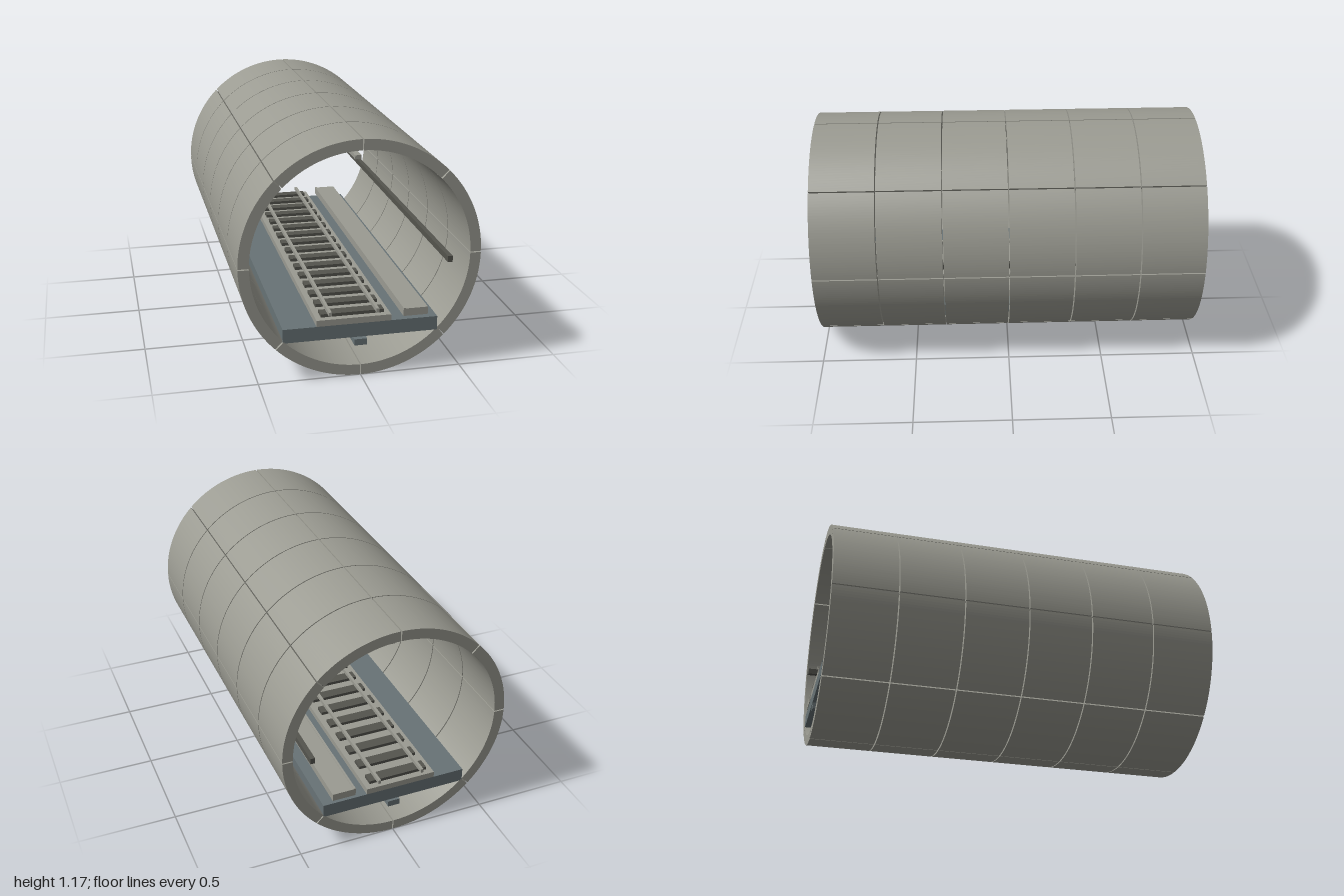
import * as THREE from 'three';

export function createModel() {
  const root = new THREE.Group();
  root.name = 'tunnelSection';
  const mat = (name, color) => {
    const m = new THREE.MeshStandardMaterial({ color });
    m.name = name;
    return m;
  };
  const concrete = mat('concrete grey', 0x9b9b92);
  const deckBlue = mat('slate deck', 0x687376);
  const dark = mat('dark grey', 0x54544e);

  // Box given by its x, y and z limits
  const box = (name, material, x0, x1, y0, y1, z0 = -1, z1 = 1, parent = root) => {
    const m = new THREE.Mesh(new THREE.BoxGeometry(x1 - x0, y1 - y0, z1 - z0), material);
    m.position.set((x0 + x1) / 2, (y0 + y1) / 2, (z0 + z1) / 2);
    m.name = name;
    parent.add(m);
    return m;
  };

  // Lining: six rings of eight curved segments with narrow open joints
  const outer = 0.587, inner = 0.534, gap = 0.006, rings = 6, parts = 8;
  const depth = (2 - gap * (rings - 1)) / rings;
  const step = (Math.PI * 2) / parts;
  const aOut = Math.asin(gap / 2 / outer), aIn = Math.asin(gap / 2 / inner);
  const shape = new THREE.Shape();
  shape.absarc(0, 0, outer, aOut, step - aOut, false);
  shape.absarc(0, 0, inner, step - aIn, aIn, true);
  shape.closePath();
  const segment = new THREE.ExtrudeGeometry(shape, { depth, bevelEnabled: false, curveSegments: 16 });
  for (let r = 0; r < rings; r++) {
    const ring = new THREE.Group();
    ring.name = 'liningRing';
    ring.position.set(0, outer, -1 + r * (depth + gap));
    for (let i = 0; i < parts; i++) {
      const m = new THREE.Mesh(segment, concrete);
      m.name = 'liningSegment';
      m.rotation.z = i * step;
      ring.add(m);
    }
    root.add(ring);
  }

  // Floor deck and the drain channel below it
  box('deck', deckBlue, -0.38, 0.38, 0.2, 0.27);
  box('drainChannel', deckBlue, -0.031, 0.031, 0.155, 0.187);

  // Track: slab, sleepers and two rails
  const track = new THREE.Group();
  track.name = 'track';
  root.add(track);
  box('trackSlab', concrete, -0.217, 0.149, 0.27, 0.301, -1, 1, track);
  const count = 16, pitch = 2 / count;
  for (let i = 0; i < count; i++) {
    const z = -1 + (i + 0.5) * pitch;
    box('sleeper', dark, -0.189, 0.121, 0.301, 0.317, z - 0.029, z + 0.029, track);
  }
  for (const x of [-0.15, 0.082]) box('rail', concrete, x - 0.007, x + 0.007, 0.317, 0.337, -1, 1, track);

  // Side walkway with a small raised kerb
  box('walkway', concrete, 0.21, 0.331, 0.286, 0.324);
  box('walkwayKerb', concrete, 0.21, 0.221, 0.324, 0.327);

  // Cable duct along the left wall
  box('cableDuct', dark, 0.423, 0.447, 0.545, 0.575);

  // Ceiling lamps
  for (const z of [-0.74, 0, 0.74]) box('ceilingLamp', concrete, -0.015, 0.015, 1.055, 1.074, z - 0.17, z + 0.17);

  return root;
}
